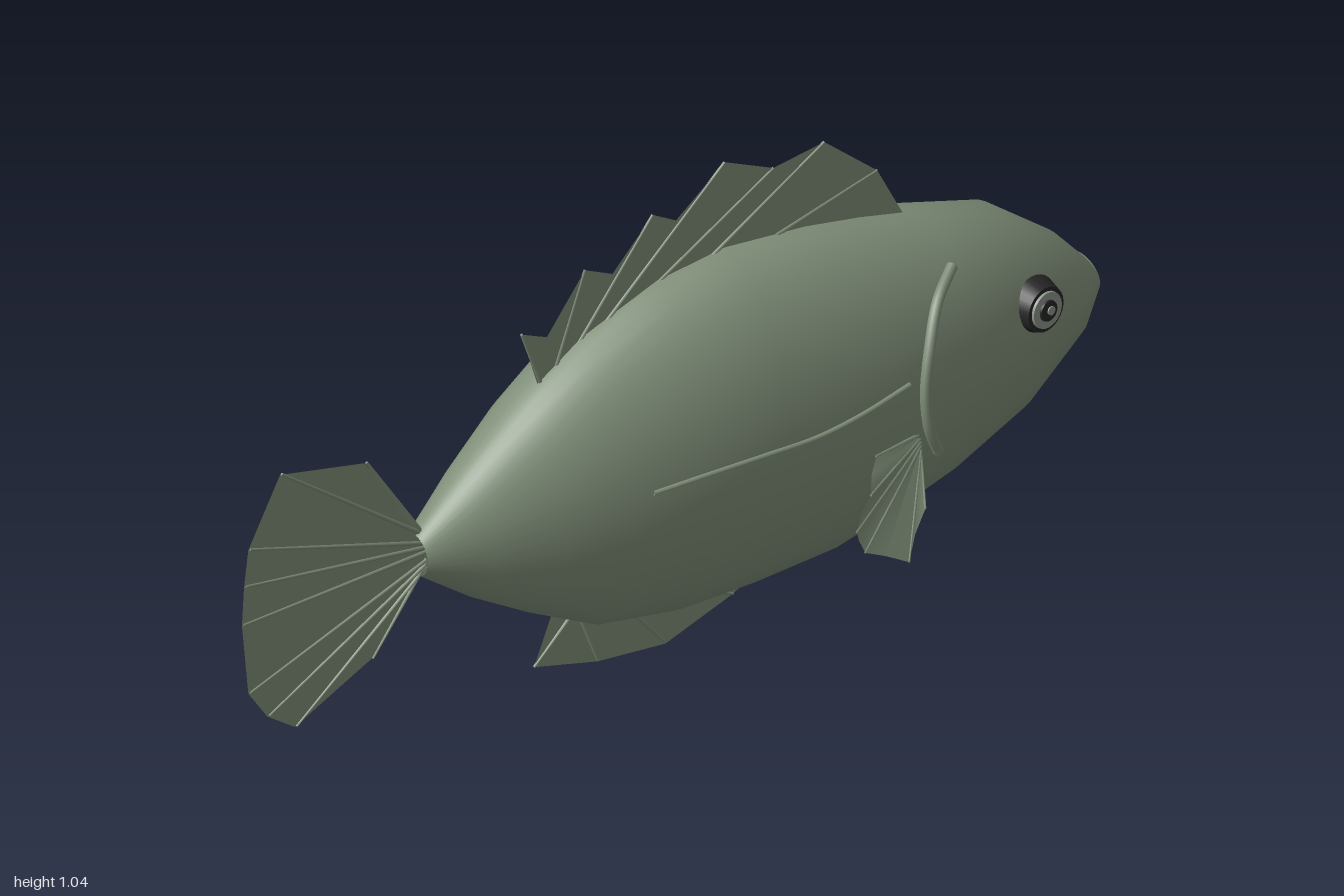
import * as THREE from 'three';

// Thin and open surfaces, the hollow body included, show both sides
const skin = new THREE.MeshStandardMaterial({ color: 0x81907a, side: THREE.DoubleSide });
skin.name = 'olive skin';
const dark = new THREE.MeshStandardMaterial({ color: 0x252525 });
dark.name = 'near black';
const irisMat = new THREE.MeshStandardMaterial({ color: 0x8c958a });
irisMat.name = 'iris grey';

// Body stations: x, top, bottom, half width
const stations = [
  [-0.59, 0.487, 0.4, 0.038], [-0.47, 0.59, 0.305, 0.09], [-0.34, 0.69, 0.22, 0.137],
  [-0.2, 0.775, 0.14, 0.175], [-0.02, 0.832, 0.102, 0.203], [0.14, 0.842, 0.096, 0.214],
  [0.33, 0.812, 0.098, 0.214], [0.46, 0.78, 0.125, 0.207], [0.6, 0.738, 0.16, 0.191],
  [0.775, 0.677, 0.225, 0.157], [0.92, 0.557, 0.335, 0.108], [0.985, 0.48, 0.41, 0.055],
];

function section(x) {
  let i = 0;
  while (i < stations.length - 2 && stations[i + 1][0] < x) i++;
  const a = stations[i], b = stations[i + 1], t = (x - a[0]) / (b[0] - a[0]);
  return a.map((v, k) => v + (b[k] - v) * t);
}

// Half width of the body surface at a point of its side
function sideZ(x, y) {
  const [, top, bottom, w] = section(x);
  const d = (y - (top + bottom) / 2) / ((top - bottom) / 2);
  return w * Math.sqrt(Math.max(0, 1 - d * d));
}

function add(parent, name, geometry, material) {
  const mesh = new THREE.Mesh(geometry, material);
  mesh.name = name;
  parent.add(mesh);
  return mesh;
}

function surface(points, index) {
  const g = new THREE.BufferGeometry();
  g.setAttribute('position', new THREE.Float32BufferAttribute(points, 3));
  g.setIndex(index);
  g.computeVertexNormals();
  return g;
}

// Elliptical loops skinned together, open at mouth and tail
function bodyGeometry(sides = 40) {
  const p = [], idx = [];
  stations.forEach(([x, top, bottom, w], i) => {
    for (let j = 0; j < sides; j++) {
      const t = j / sides * Math.PI * 2;
      p.push(x, (top + bottom) / 2 + Math.cos(t) * (top - bottom) / 2, Math.sin(t) * w);
      if (i === stations.length - 1) continue;
      const a = i * sides + j, b = i * sides + (j + 1) % sides;
      idx.push(a, b, a + sides, b, b + sides, a + sides);
    }
  });
  return surface(p, idx);
}

function tube(points, radius, segments = 24) {
  const curve = new THREE.CatmullRomCurve3(points.map(p => new THREE.Vector3(...p)));
  return new THREE.TubeGeometry(curve, segments, radius, 6);
}

// Thin tapering spine between two points
function ray(parent, a, b, r) {
  const from = new THREE.Vector3(...a), to = new THREE.Vector3(...b);
  const dir = to.clone().sub(from);
  const m = add(parent, 'finRay', new THREE.CylinderGeometry(r * 0.6, r, dir.length(), 5), skin);
  m.position.copy(from).addScaledVector(dir, 0.5);
  m.quaternion.setFromUnitVectors(new THREE.Vector3(0, 1, 0), dir.normalize());
}

// Flat upright fin from an outline, with rays given as [x0, y0, x1, y1]
function flatFin(parent, name, outline, rays) {
  const g = new THREE.Group();
  g.name = name;
  const shape = new THREE.Shape(outline.map(p => new THREE.Vector2(...p)));
  add(g, name + 'Web', new THREE.ShapeGeometry(shape), skin);
  rays.forEach(([x0, y0, x1, y1]) => ray(g, [x0, y0, 0], [x1, y1, 0], 0.005));
  parent.add(g);
}

function eye() {
  const g = new THREE.Group();
  g.name = 'eye';
  const disc = (name, rFront, rBack, h, z, mat) => {
    const m = add(g, name, new THREE.CylinderGeometry(rFront, rBack, h, 28), mat);
    m.rotation.x = Math.PI / 2;
    m.position.z = z;
    return m;
  };
  disc('eyeRim', 0.046, 0.058, 0.036, 0, dark);
  disc('iris', 0.037, 0.038, 0.006, 0.02, irisMat);
  disc('pupil', 0.021, 0.022, 0.006, 0.024, dark);
  disc('eyeGlint', 0.009, 0.009, 0.004, 0.028, irisMat).position.x = 0.004;
  g.position.set(0.768, 0.533, 0.151);
  g.rotation.set(-0.08, 0.13, 0);
  return g;
}

// Fan fin with shallow pleats: valleys between the ray tips are pushed inward
function pectoralFin() {
  const g = new THREE.Group();
  g.name = 'pectoralFin';
  const tips = [[0.3, 0.443, 0.26], [0.23, 0.423, 0.335], [0.17, 0.383, 0.37],
    [0.175, 0.345, 0.39], [0.28, 0.28, 0.388], [0.385, 0.31, 0.3]];
  const root = k => [0.45, 0.4 - k * 0.009, 0.2];
  const p = [], idx = [], rim = [];
  tips.forEach((t, i) => {
    rim.push(t);
    const n = tips[i + 1];
    if (n) rim.push([(t[0] + n[0]) / 2, (t[1] + n[1]) / 2, (t[2] + n[2]) / 2 - 0.006]);
  });
  rim.forEach((t, i) => {
    p.push(...root(i / 2), ...t);
    if (i) idx.push(2 * i - 2, 2 * i - 1, 2 * i + 1, 2 * i - 2, 2 * i + 1, 2 * i);
  });
  add(g, 'pectoralWeb', surface(p, idx), skin);
  tips.forEach((t, i) => ray(g, root(i), t, 0.004));
  return g;
}

// Everything carried on one flank
function flank(name) {
  const g = new THREE.Group();
  g.name = name;
  g.add(eye(), pectoralFin());
  const onSide = (pts, lift) => pts.map(([x, y]) => [x, y, sideZ(x, y) + lift]);
  add(g, 'gillCover', tube(onSide([[0.585, 0.685], [0.52, 0.65], [0.475, 0.58], [0.453, 0.5],
    [0.46, 0.42], [0.495, 0.34]], 0.007), 0.011, 32), skin);
  add(g, 'lateralLine', tube(onSide([[-0.165, 0.507], [-0.05, 0.512], [0.08, 0.51], [0.2, 0.505],
    [0.3, 0.512], [0.42, 0.528]], 0.003), 0.005, 40), skin);
  return g;
}

export function createModel() {
  const fish = new THREE.Group();
  fish.name = 'fish';
  add(fish, 'body', bodyGeometry(), skin);

  // Lips around the open mouth
  const lip = (from, to, r, x) => {
    const pts = [];
    for (let i = 0; i <= 8; i++) {
      const t = from + (to - from) * i / 8;
      pts.push([x, 0.445 + Math.sin(t) * 0.033, Math.cos(t) * 0.05]);
    }
    return tube(pts, r);
  };
  add(fish, 'upperLip', lip(-0.3, Math.PI + 0.3, 0.005, 0.983), skin);
  add(fish, 'lowerLip', lip(Math.PI * 1.18, Math.PI * 1.82, 0.007, 0.992), dark);

  // Dorsal fin
  flatFin(fish, 'dorsalFin',
    [[-0.34, 0.84], [-0.28, 0.81], [-0.19, 0.925], [-0.125, 0.89], [-0.03, 0.985], [0.025, 0.95],
      [0.14, 1.035], [0.255, 0.975], [0.375, 0.985], [0.5, 0.87], [0.565, 0.74], [0.33, 0.8],
      [0.1, 0.82], [-0.1, 0.79], [-0.3, 0.705]],
    [[-0.29, 0.7, -0.34, 0.84], [-0.26, 0.73, -0.19, 0.925], [-0.21, 0.76, -0.03, 0.985],
      [-0.15, 0.78, 0.14, 1.035], [-0.05, 0.81, 0.255, 0.975], [0.1, 0.83, 0.375, 0.985],
      [0.26, 0.82, 0.5, 0.87]]);

  // Tail fin
  const tail = [[-0.71, 0.7], [-0.91, 0.755], [-0.985, 0.615], [-0.995, 0.535], [-1, 0.45],
    [-0.985, 0.29], [-0.94, 0.22], [-0.875, 0.17], [-0.695, 0.25]];
  flatFin(fish, 'tailFin', [[-0.57, 0.48], ...tail, [-0.57, 0.4]],
    tail.map(([x, y]) => [-0.565, 0.44 + (y - 0.44) * 0.12, x + 0.004, y]));

  // Anal fin
  flatFin(fish, 'analFin',
    [[-0.26, 0.2], [-0.31, 0.075], [-0.16, 0.027], [0, 0.002], [0.16, 0.05], [0.26, 0.1],
      [0.1, 0.12], [-0.1, 0.14]],
    [[-0.22, 0.16, -0.31, 0.075], [-0.2, 0.14, -0.16, 0.03], [-0.09, 0.12, 0, 0.005],
      [0.07, 0.1, 0.16, 0.05]]);

  // Mirrored flanks: the far one is a reflection across z
  const near = flank('nearFlank');
  const far = flank('farFlank');
  far.scale.z = -1;
  fish.add(near, far);
  return fish;
}
